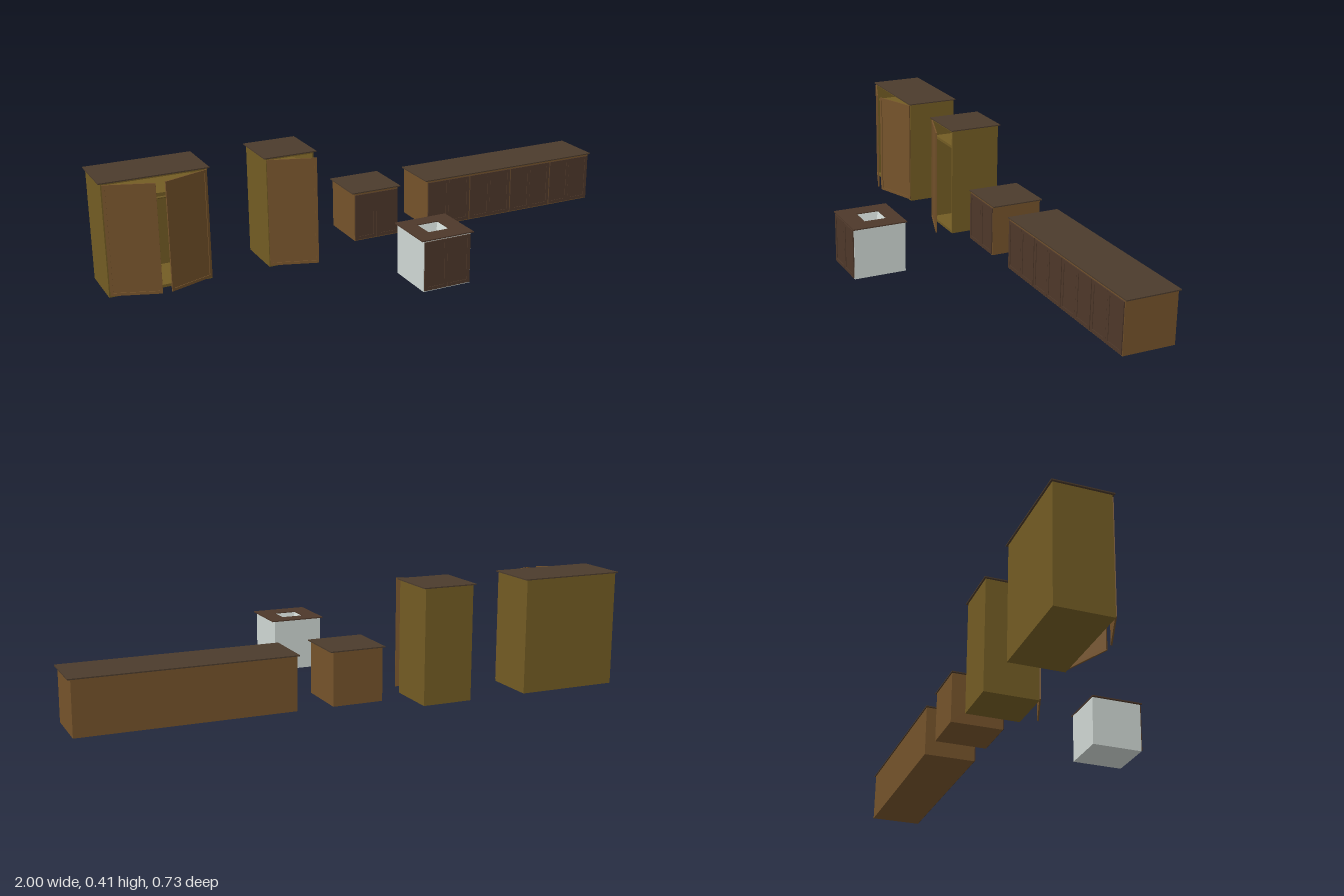
import * as THREE from 'three';

const mat = (color) => new THREE.MeshStandardMaterial({ color, side: THREE.DoubleSide, flatShading: true });

export function createModel() {
  const model = new THREE.Group();
  const olive = mat(0x735c24), wood = mat(0x75532b), topWood = mat(0x4b3b2c);
  const darkWood = mat(0x4e382a), white = mat(0xd0d8d4);

  // Box given by its minimum and maximum corners
  function box(parent, name, material, x0, x1, y0, y1, z0, z1) {
    const m = new THREE.Mesh(new THREE.BoxGeometry(x1 - x0, y1 - y0, z1 - z0), material);
    m.position.set((x0 + x1) / 2, (y0 + y1) / 2, (z0 + z1) / 2);
    m.name = name;
    parent.add(m);
    return m;
  }

  function rectPath(target, x0, x1, y0, y1) {
    target.moveTo(x0, y0);
    target.lineTo(x1, y0);
    target.lineTo(x1, y1);
    target.lineTo(x0, y1);
    target.closePath();
    return target;
  }

  // Framed door with a recessed panel; x runs from x0 to x1, back face at z = 0
  function door(name, material, x0, x1, y0, y1, rim, depth) {
    const g = new THREE.Group();
    g.name = name;
    const shape = rectPath(new THREE.Shape(), x0, x1, y0, y1);
    shape.holes.push(rectPath(new THREE.Path(), x0 + rim, x1 - rim, y0 + rim, y1 - rim));
    const frame = new THREE.Mesh(new THREE.ExtrudeGeometry(shape, { depth, bevelEnabled: false }), material);
    frame.name = 'doorFrame';
    g.add(frame);
    box(g, 'doorPanel', material, x0 + rim, x1 - rim, y0 + rim, y1 - rim, depth * 0.1, depth * 0.45);
    return g;
  }

  // Open wardrobe with shelf, hanging rail and swung doors
  function wardrobe(name, x0, x1, hinges) {
    const g = new THREE.Group(), t = 0.006, h = 0.409, zb = -0.356, zf = -0.166;
    g.name = name;
    box(g, 'leftoverSide', olive, x0, x0 + t, 0, h, zb, zf).name = 'sidePanelA';
    box(g, 'sidePanelB', olive, x1 - t, x1, 0, h, zb, zf);
    box(g, 'backPanel', olive, x0 + t, x1 - t, 0, h, zb, zb + t);
    box(g, 'floorPanel', olive, x0 + t, x1 - t, 0, 0.01, zb + t, zf);
    box(g, 'ceilingPanel', olive, x0 + t, x1 - t, h - t, h, zb + t, zf);
    box(g, 'shelf', olive, x0 + t, x1 - t, 0.333, 0.343, zb + t, zf - 0.01);
    const rail = new THREE.Mesh(new THREE.CylinderGeometry(0.004, 0.004, x1 - x0 - 2 * t, 10), olive);
    rail.name = 'hangingRail';
    rail.rotation.z = Math.PI / 2;
    rail.position.set((x0 + x1) / 2, 0.295, (zb + zf) / 2);
    g.add(rail);
    box(g, 'topBoard', topWood, x0 - 0.008, x1 + 0.008, h, 0.413, -0.362, -0.16);
    for (const { x, dir, angle } of hinges) {
      const w = 0.176;
      const d = door('openDoor', wood, dir > 0 ? 0 : -w, dir > 0 ? w : 0, 0.007, 0.405, 0.01, 0.005);
      d.position.set(x, 0, zf);
      d.rotation.y = -dir * angle;
      g.add(d);
    }
    model.add(g);
  }
  wardrobe('wideWardrobe', -0.99, -0.62, [
    { x: -0.985, dir: 1, angle: 0.35 },
    { x: -0.623, dir: -1, angle: 0.35 },
  ]);
  wardrobe('narrowWardrobe', -0.403, -0.22, [{ x: -0.4, dir: 1, angle: 0.33 }]);

  // Pairs of closed doors along a cabinet front
  function cabinetDoors(g, x0, x1, units, z) {
    const unit = (x1 - x0) / units;
    for (let i = 0; i < units; i++) {
      for (let j = 0; j < 2; j++) {
        const a = x0 + i * unit + 0.002 + j * (unit / 2 - 0.002);
        const d = door('cabinetDoor', darkWood, a, a + unit / 2 - 0.0025, 0.041, 0.216, 0.012, 0.004);
        d.position.z = z;
        g.add(d);
      }
    }
  }

  // Low cabinets against the back
  function lowCabinet(name, x0, x1, units) {
    const g = new THREE.Group();
    g.name = name;
    box(g, 'cabinetBody', wood, x0, x1, 0.037, 0.222, -0.356, -0.168);
    box(g, 'worktop', topWood, x0 - 0.008, x1 + 0.01, 0.222, 0.226, -0.36, -0.165);
    cabinetDoors(g, x0, x1, units, -0.168);
    model.add(g);
  }
  lowCabinet('smallCabinet', -0.06, 0.12, 1);
  lowCabinet('longCabinet', 0.248, 0.987, 4);

  // Sink cabinet: open-topped shell, pierced worktop and tapered basin
  const sink = new THREE.Group(), t = 0.004;
  sink.name = 'sinkCabinet';
  box(sink, 'sideWallA', white, -0.06, -0.06 + t, 0.037, 0.22, 0.17, 0.359);
  box(sink, 'sideWallB', white, 0.12 - t, 0.12, 0.037, 0.22, 0.17, 0.359);
  box(sink, 'backWall', white, -0.06 + t, 0.12 - t, 0.037, 0.22, 0.17, 0.17 + t);
  box(sink, 'frontWall', white, -0.06 + t, 0.12 - t, 0.037, 0.22, 0.359 - t, 0.359);
  box(sink, 'bottomPanel', white, -0.06 + t, 0.12 - t, 0.037, 0.037 + t, 0.17 + t, 0.359 - t);
  cabinetDoors(sink, -0.06, 0.12, 1, 0.359);

  const slab = rectPath(new THREE.Shape(), -0.068, 0.13, -0.363, -0.167);
  slab.holes.push(rectPath(new THREE.Path(), -0.01, 0.07, -0.3, -0.22));
  const sinkTop = new THREE.Mesh(new THREE.ExtrudeGeometry(slab, { depth: 0.004, bevelEnabled: false }), darkWood);
  sinkTop.name = 'sinkWorktop';
  sinkTop.rotation.x = -Math.PI / 2;
  sinkTop.position.y = 0.22;
  sink.add(sinkTop);

  const basin = new THREE.Mesh(
    new THREE.CylinderGeometry(0.04 * Math.SQRT2, 0.024 * Math.SQRT2, 0.05, 4, 1, true, Math.PI / 4), white);
  basin.name = 'basin';
  basin.position.set(0.03, 0.196, 0.26);
  sink.add(basin);
  box(sink, 'basinFloor', white, 0.006, 0.054, 0.169, 0.171, 0.236, 0.284);
  model.add(sink);

  return model;
}
